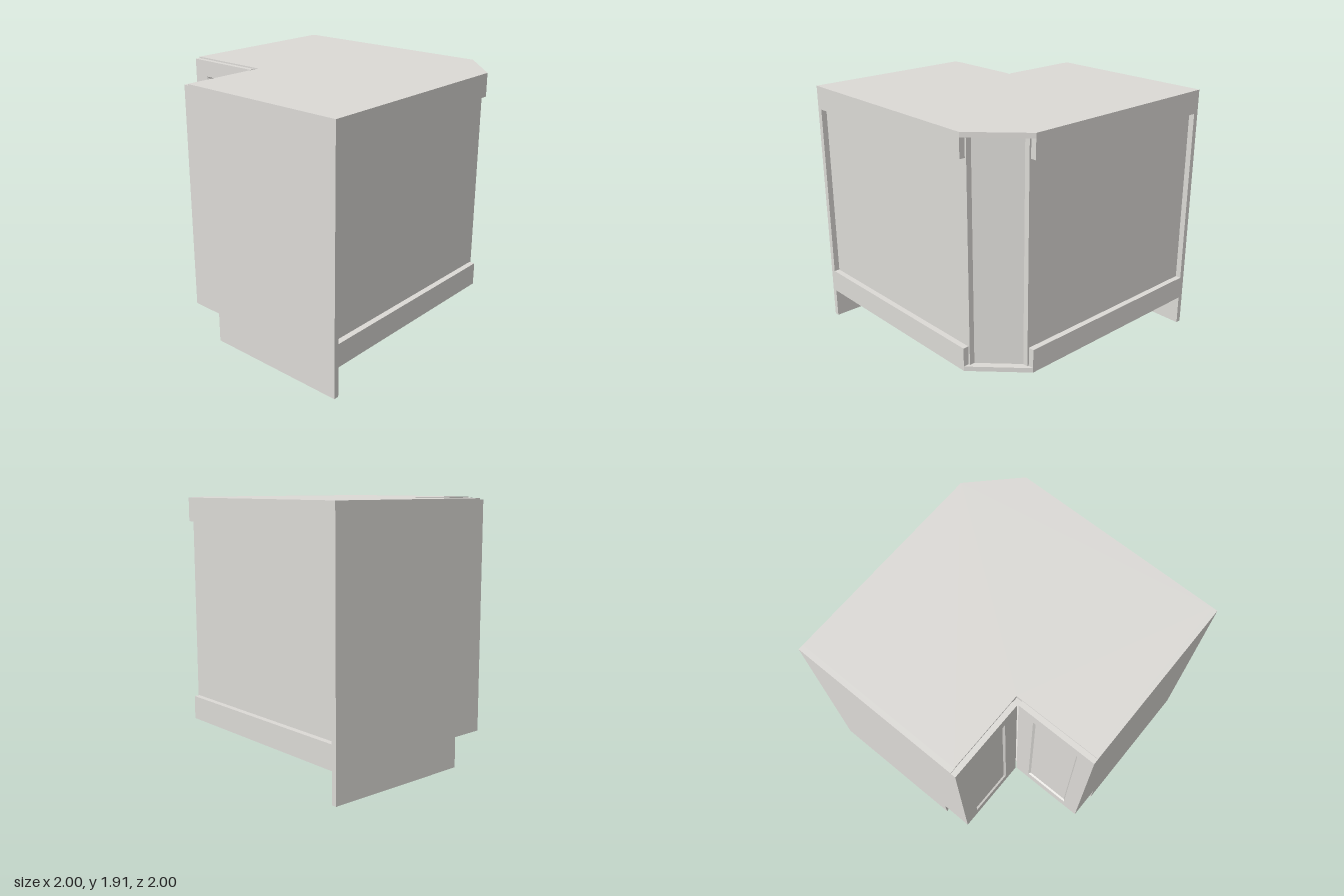
import * as THREE from 'three';

const H = 1.915, FLOOR = 0.225, T = 0.04, SLAB = 0.035;

export function createModel() {
  const model = new THREE.Group();
  model.name = 'cornerCabinet';
  const paint = new THREE.MeshStandardMaterial({ color: 0xdcdad6 });
  paint.name = 'paleGrey';

  function add(name, geometry, parent = model) {
    const mesh = new THREE.Mesh(geometry, paint);
    mesh.name = name;
    parent.add(mesh);
    return mesh;
  }
  function box(name, x0, x1, y0, y1, z0, z1) {
    const g = new THREE.BoxGeometry(x1 - x0, y1 - y0, z1 - z0);
    add(name, g).position.set((x0 + x1) / 2, (y0 + y1) / 2, (z0 + z1) / 2);
  }
  // box plus its mirror image across the cabinet's diagonal, (x, z) -> (-z, -x)
  function boxPair(name, x0, x1, y0, y1, z0, z1) {
    box(name + 'Back', x0, x1, y0, y1, z0, z1);
    box(name + 'Side', -z1, -z0, y0, y1, -x1, -x0);
  }
  function extrude(points, depth) {
    const shape = new THREE.Shape(points.map(p => new THREE.Vector2(...p)));
    return new THREE.ExtrudeGeometry(shape, { depth, bevelEnabled: false });
  }

  // L-shaped top and floor with a cut-off rear corner, drawn as (x, -z)
  const plan = [[-0.96, -0.332], [-0.335, -0.332], [-0.335, -0.96], [1, -0.96],
    [1, 0.667], [0.667, 1], [-0.96, 1]];
  for (const [name, y] of [['top', H - SLAB], ['floor', FLOOR]]) {
    const slab = add(name, extrude(plan, SLAB).rotateX(-Math.PI / 2));
    slab.position.y = y;
  }

  // end panels with toe-kick cut-outs
  const end = [[-0.335, FLOOR], [-0.127, FLOOR], [-0.127, 0], [1, 0], [1, H], [-0.335, H]];
  add('frontEndPanel', extrude(end, T)).position.z = 1 - T;
  const leftEnd = add('sideEndPanel', extrude(end, T).rotateY(Math.PI / 2));
  leftEnd.position.x = -1;

  // recessed back panels with nailing rails outside them
  const y0 = FLOOR + SLAB, y1 = H - SLAB;
  boxPair('panel', -0.96, 0.68, y0, y1, -0.957, -0.917);
  boxPair('lowerRail', -0.96, 0.667, y0, 0.4, -1, -0.957);
  boxPair('upperRail', -0.96, 0.667, 1.74, y1, -1, -0.957);

  // diagonal panel across the rear corner
  const a = 0.917, b = 0.68, t = 0.028;
  const diagonal = [[a, b], [b, a], [b - t, a - t], [a - t, b - t]];
  add('diagonalPanel', extrude(diagonal, y1 - y0).rotateX(-Math.PI / 2)).position.y = y0;

  // door lofted through rectangles: back, front edge, recess rim, recess floor
  const doorW = 0.62, doorH = 1.68;
  function doorGeometry() {
    const loops = [[0, 0], [0, T], [0.125, T], [0.138, T - 0.014]].map(([inset, z]) => {
      const x = doorW / 2 - inset, y = doorH / 2 - inset;
      return [[-x, -y, z], [x, -y, z], [x, y, z], [-x, y, z]];
    });
    const pos = [];
    const quad = (p, q, r, s) => pos.push(...p, ...q, ...r, ...p, ...r, ...s);
    for (let i = 0; i < loops.length - 1; i++) {
      for (let j = 0; j < 4; j++) {
        const k = (j + 1) % 4;
        quad(loops[i][j], loops[i][k], loops[i + 1][k], loops[i + 1][j]);
      }
    }
    quad(...loops[3]);
    quad(...loops[0].slice().reverse());
    const g = new THREE.BufferGeometry();
    g.setAttribute('position', new THREE.Float32BufferAttribute(pos, 3));
    g.computeVertexNormals();
    return g;
  }
  const doorY = FLOOR + doorH / 2;
  add('leftDoor', doorGeometry()).position.set(-1 + doorW / 2, doorY, 0.333);
  const door2 = add('rightDoor', doorGeometry());
  door2.rotation.y = -Math.PI / 2;
  door2.position.set(-0.334, doorY, 1 - doorW / 2);

  return model;
}
